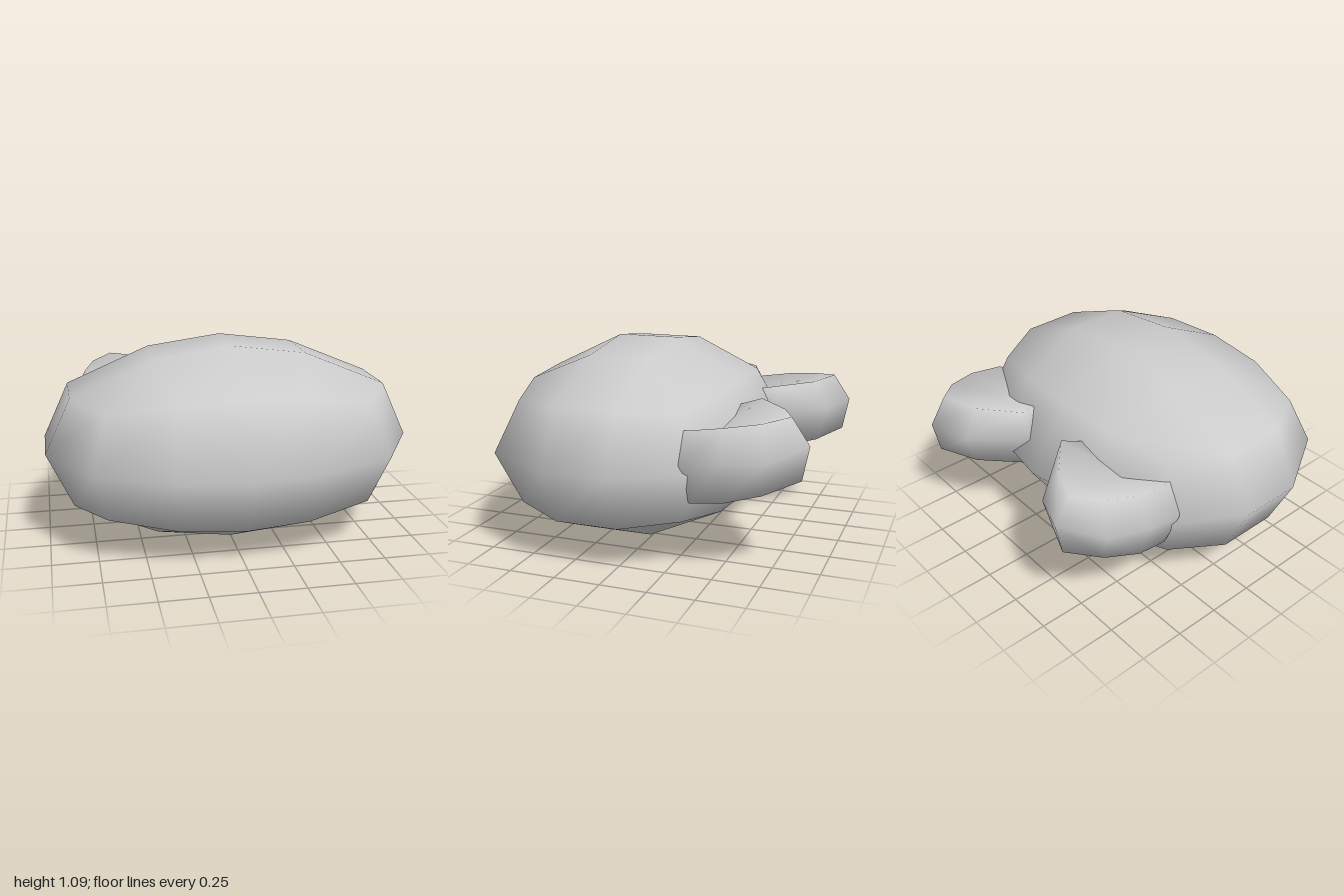
import * as THREE from 'three';
import { mergeVertices } from 'three/addons/utils/BufferGeometryUtils.js';

const material = new THREE.MeshStandardMaterial({ color: 0xcccccc });

// Rounded head: a 4 x 2 x 3 box grid whose points are pulled onto a flattened ball.
// Each table lists [x, y, z] for columns 0, 1, 2 outward from the middle.
function headGeometry() {
  const bodyEdge = [[0, 0.545, 0.17], [0.41, 0.49, 0.17], [0.86, 0.30, 0.17]];
  const capEdge = [[0, 0.35, 0.57], [0.35, 0.33, 0.55], [0.70, 0.28, 0.45]];
  const capMiddle = [[0, 0, 0.80], [0.36, 0, 0.745], [0.77, 0, 0.57]];
  const box = new THREE.BoxGeometry(4, 2, 6, 4, 2, 3);
  box.deleteAttribute('uv');
  box.deleteAttribute('normal');
  const geo = mergeVertices(box);
  geo.clearGroups();
  const pos = geo.attributes.position;
  for (let i = 0; i < pos.count; i++) {
    const [x, y, z] = [pos.getX(i), pos.getY(i), pos.getZ(i)].map(Math.round);
    const col = Math.abs(x);
    const cap = Math.abs(z) === 3;
    let p;
    if (y === 0) p = cap ? capMiddle[col] : [1, 0, 0.17];
    else p = cap ? capEdge[col] : bodyEdge[col];
    pos.setXYZ(i, Math.sign(x) * p[0], 0.55 + Math.sign(y) * p[1], 0.13 + Math.sign(z) * p[2]);
  }
  geo.computeVertexNormals();
  return geo;
}

// Ear: three rows running from the outer base round the tip to the inner base,
// closed by a dent in front and a rounded back. The ends are sunk in the head.
function earGeometry(side) {
  const rows = [
    [[0.62, 0.72, -0.2], [0.74, 0.76, -0.36], [0.74, 0.79, -0.55], [0.68, 0.81, -0.72],
      [0.565, 0.83, -0.84], [0.37, 0.82, -0.76], [0.17, 0.82, -0.59], [0.25, 0.77, -0.4]], // rim
    [[0.68, 0.6, -0.2], [0.82, 0.6, -0.36], [0.82, 0.63, -0.55], [0.74, 0.63, -0.76],
      [0.565, 0.69, -0.935], [0.345, 0.67, -0.85], [0.135, 0.65, -0.58], [0.2, 0.6, -0.4]], // widest line
    [[0.62, 0.42, -0.2], [0.74, 0.39, -0.38], [0.74, 0.41, -0.55], [0.68, 0.45, -0.73],
      [0.565, 0.51, -0.9], [0.39, 0.47, -0.78], [0.23, 0.44, -0.57], [0.3, 0.45, -0.4]], // back
  ];
  const n = rows[0].length;
  const points = [...rows.flat(), [0.5, 0.71, -0.46], [0.5, 0.37, -0.46]];
  const dent = 3 * n, back = dent + 1;
  const index = [];
  const tri = (a, b, c) => index.push(...(side > 0 ? [a, b, c] : [a, c, b]));
  for (let i = 0; i < n - 1; i++) {
    tri(dent, i, i + 1);
    for (let r = 0; r < 2; r++) {
      const a = r * n + i, b = a + n;
      tri(a, b, a + 1);
      tri(a + 1, b, b + 1);
    }
    tri(2 * n + i, back, 2 * n + i + 1);
  }
  const geo = new THREE.BufferGeometry();
  geo.setAttribute('position', new THREE.Float32BufferAttribute(
    points.flatMap(([x, y, z]) => [side * x, y, z]), 3));
  geo.setIndex(index);
  geo.computeVertexNormals();
  return geo;
}

export function createModel() {
  const group = new THREE.Group();
  const add = (name, geo) => {
    const mesh = new THREE.Mesh(geo, material);
    mesh.name = name;
    group.add(mesh);
  };
  add('head', headGeometry());
  add('leftEar', earGeometry(1));
  add('rightEar', earGeometry(-1));
  return group;
}
